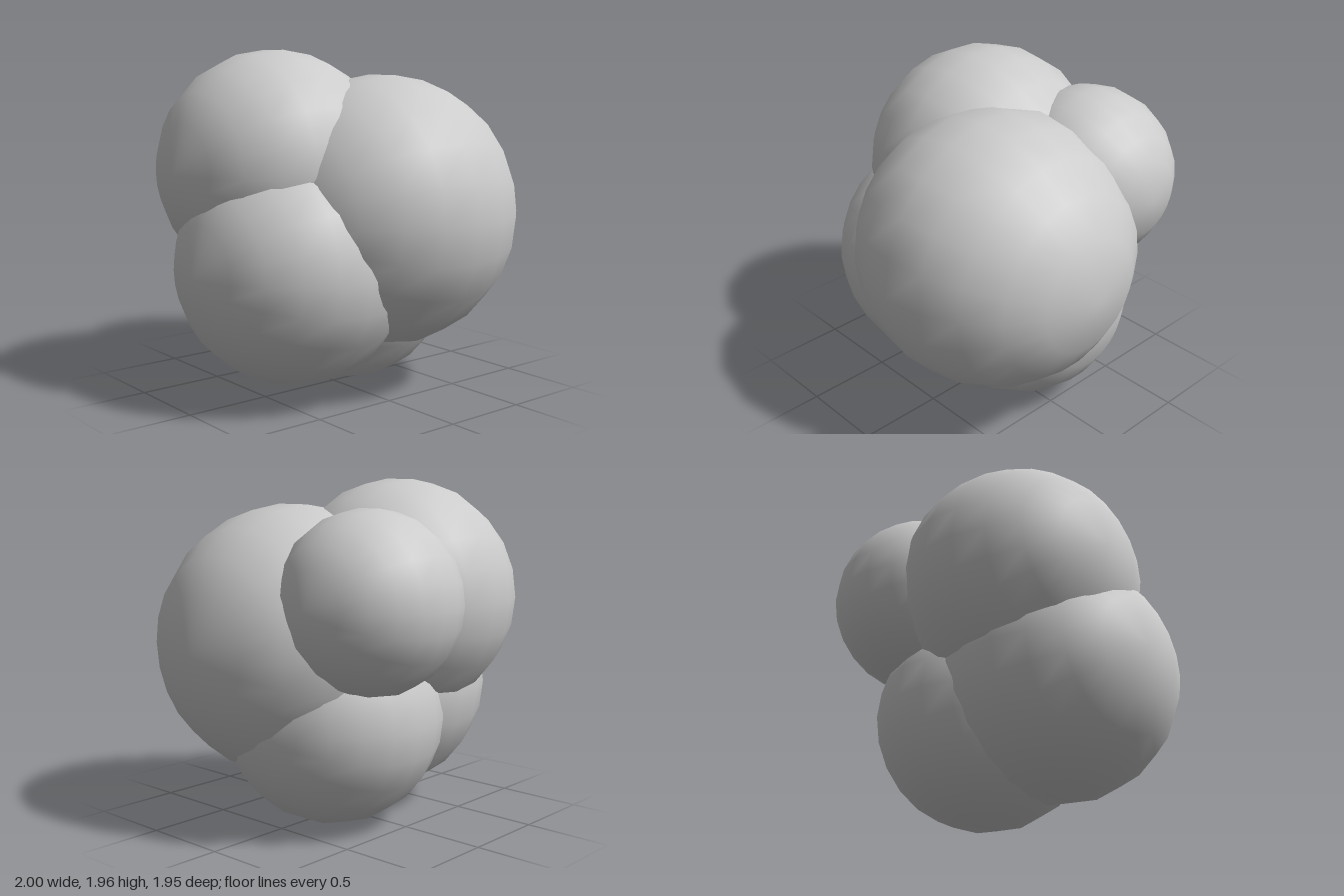
import * as THREE from 'three';

// Unit ball turned about the x axis, with a wide shallow cap at each pole
function ballGeometry() {
  const half = [0, 24.5, 41, 57.3, 73.6, 90];
  const angles = [...half, ...half.slice(0, -1).reverse().map(a => 180 - a)].reverse();
  const profile = angles.map(a => {
    const t = THREE.MathUtils.degToRad(a);
    return new THREE.Vector2(Math.max(0, Math.sin(t)), Math.cos(t));
  });
  const geometry = new THREE.LatheGeometry(profile, 22);
  geometry.rotateZ(-Math.PI / 2);
  // smooth spherical normals
  const p = geometry.attributes.position, n = geometry.attributes.normal;
  const v = new THREE.Vector3();
  for (let i = 0; i < p.count; i++) {
    v.fromBufferAttribute(p, i).normalize();
    n.setXYZ(i, v.x, v.y, v.z);
  }
  return geometry;
}

export function createModel() {
  const group = new THREE.Group();
  group.name = 'ballCluster';
  const material = new THREE.MeshStandardMaterial({ color: 0xcccccc });
  const geometry = ballGeometry();

  // Overlapping balls: name, centre, radius
  const balls = [
    ['largeFrontBall', [0.21, 1.04, 0.18], 0.79],
    ['upperRightBall', [-0.28, 1.29, -0.2], 0.68],
    ['lowerRightBall', [-0.32, 0.76, 0.04], 0.68],
    ['bottomBall', [0.15, 0.63, -0.08], 0.63],
    ['smallBackBall', [0.29, 1.31, -0.465], 0.51],
  ];
  for (const [name, centre, radius] of balls) {
    const ball = new THREE.Mesh(geometry, material);
    ball.name = name;
    ball.position.set(...centre);
    ball.scale.setScalar(radius);
    group.add(ball);
  }
  return group;
}
